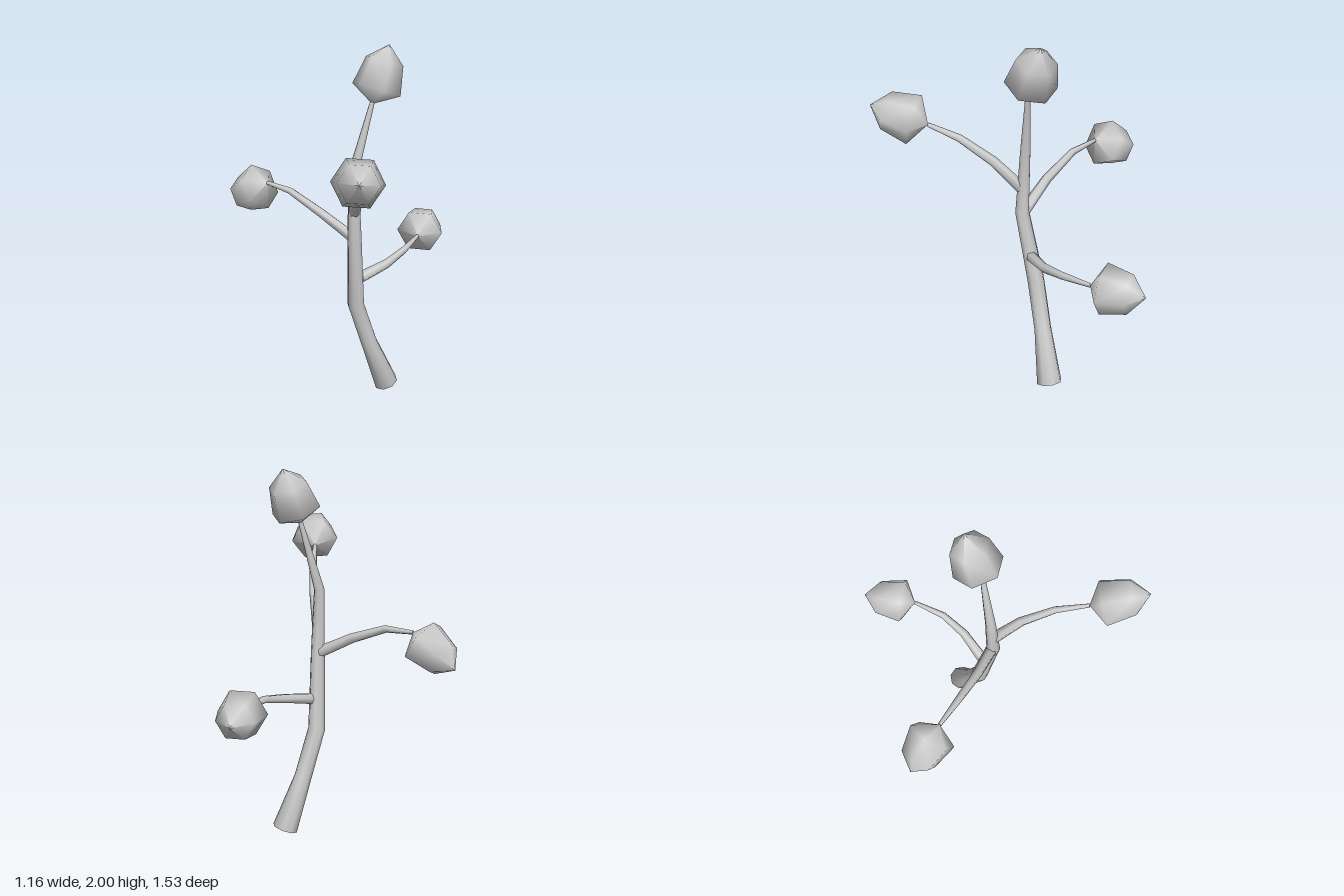
import * as THREE from 'three';

const material = new THREE.MeshStandardMaterial({ color: 0xcccccc });

// Closed, smooth skin through rings of the given radii, centred on a path.
// ref sets the direction of each ring's first corner.
function loft(name, path, radii, sides, ref = [1, 0, 0]) {
  const pts = path.map(p => new THREE.Vector3(...p));
  const last = pts.length - 1;
  const rings = pts.map((p, i) => ({
    p, r: radii[i],
    t: pts[Math.min(i + 1, last)].clone().sub(pts[Math.max(i - 1, 0)]).normalize(),
  }));
  // zero-radius rings close both ends
  rings.unshift({ ...rings[0], r: 0 });
  rings.push({ ...rings[rings.length - 1], r: 0 });

  const positions = [], index = [];
  rings.forEach(({ p, r, t }, i) => {
    const u = new THREE.Vector3(...ref);
    u.addScaledVector(t, -u.dot(t)).normalize();
    const v = t.clone().cross(u);
    for (let j = 0; j < sides; j++) {
      const a = (j / sides) * Math.PI * 2;
      const q = p.clone().addScaledVector(u, r * Math.cos(a)).addScaledVector(v, r * Math.sin(a));
      positions.push(q.x, q.y, q.z);
      if (i === rings.length - 1) continue;
      const k = (j + 1) % sides;
      const A = i * sides + j, B = i * sides + k, C = B + sides, D = A + sides;
      index.push(A, B, D, B, C, D);
    }
  });
  const geometry = new THREE.BufferGeometry();
  geometry.setAttribute('position', new THREE.Float32BufferAttribute(positions, 3));
  geometry.setIndex(index);
  // weld the end points so the shading runs smoothly over them
  const merged = weldEnds(geometry, sides, rings.length);
  merged.computeVertexNormals();
  const mesh = new THREE.Mesh(merged, material);
  mesh.name = name;
  return mesh;
}

// Points every end-ring corner at one shared vertex and drops empty triangles.
function weldEnds(geometry, sides, count) {
  const end = (count - 1) * sides;
  const ids = Array.from(geometry.index.array, n => (n < sides ? 0 : n >= end ? end : n));
  const kept = [];
  for (let i = 0; i < ids.length; i += 3) {
    const [a, b, c] = ids.slice(i, i + 3);
    if (a !== b && b !== c && a !== c) kept.push(a, b, c);
  }
  geometry.setIndex(kept);
  return geometry;
}

// Six-sided bud: pointed base, wide shoulder, narrower ring, blunt tip.
function bud(name, base, tip, ref) {
  const a = new THREE.Vector3(...base), b = new THREE.Vector3(...tip);
  const path = [0, 0.24, 0.72, 1].map(s => a.clone().lerp(b, s).toArray());
  return loft(name, path, [0, 0.13, 0.1, 0], 6, ref);
}

export function createModel() {
  const group = new THREE.Group();
  group.name = 'buddingBranch';

  // Main stem, tapering upward, and its top bud
  group.add(loft('mainStem', [
    [0.345, 0.027, -0.215], [0.257, 0.31, -0.138], [0.192, 0.575, -0.068],
    [0.197, 1.0, 0.008], [0.183, 1.35, -0.006], [0.268, 1.73, -0.062],
  ], [0.07, 0.048, 0.047, 0.038, 0.028, 0.012], 8));
  group.add(bud('topBud', [0.265, 1.71, -0.06], [0.33, 2.0, -0.155]));

  // Side twigs, each ending in a bud
  const twigs = [
    { name: 'front', tip: [0.38, 1.55, 0.765],
      path: [[0.195, 1.14, 0.01], [0.245, 1.295, 0.145], [0.285, 1.41, 0.31], [0.31, 1.465, 0.475]] },
    { name: 'right', tip: [-0.57, 1.05, -0.305], ref: [0, 1, 0],
      path: [[0.195, 0.99, 0.005], [0, 1.1, -0.045], [-0.19, 1.185, -0.115], [-0.34, 1.197, -0.185]] },
    { name: 'back', tip: [0.46, 0.855, -0.77],
      path: [[0.225, 0.745, -0.06], [0.34, 0.785, -0.18], [0.415, 0.825, -0.31], [0.46, 0.845, -0.48]] },
  ];
  for (const { name, path, tip, ref } of twigs) {
    group.add(loft(name + 'Twig', path, [0.032, 0.026, 0.02, 0.011], 6, name === 'right' ? [0, 1, 0] : [1, 0, 0]));
    group.add(bud(name + 'Bud', path[path.length - 1], tip, ref));
  }
  return group;
}
